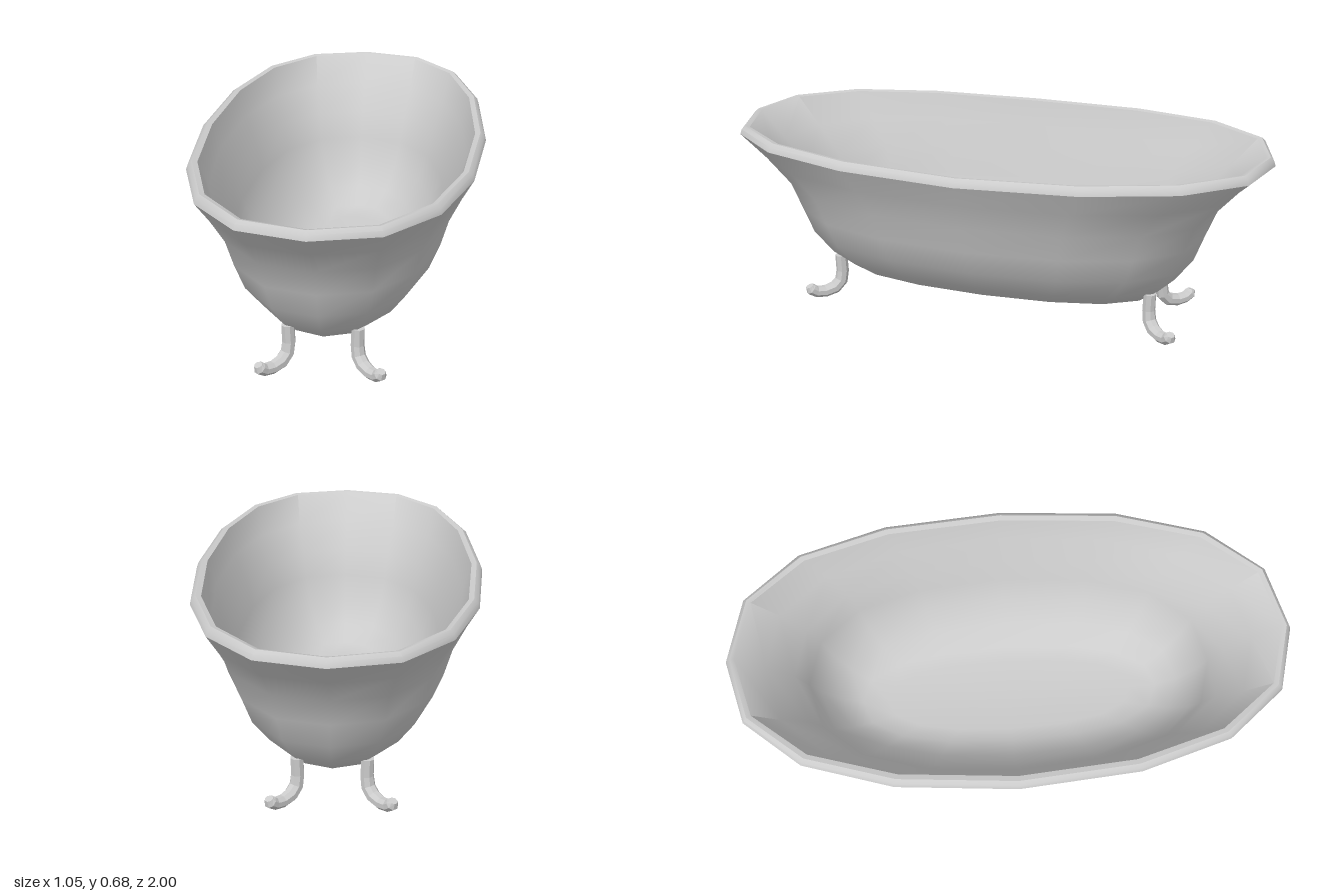
import * as THREE from 'three';
import { toCreasedNormals } from 'three/addons/utils/BufferGeometryUtils.js';

// Closed skin over a list of equal-length rings of Vector3, capped at both ends
function loft(rings) {
  const n = rings[0].length, pos = [], idx = [];
  rings.forEach(r => r.forEach(p => pos.push(p.x, p.y, p.z)));
  for (let i = 0; i < rings.length - 1; i++) {
    for (let j = 0; j < n; j++) {
      const k = (j + 1) % n, a = i * n + j, b = i * n + k;
      idx.push(a, b, b + n, a, b + n, a + n);
    }
  }
  [0, rings.length - 1].forEach((i, last) => {
    const c = new THREE.Vector3();
    rings[i].forEach(p => c.addScaledVector(p, 1 / n));
    const ci = pos.length / 3;
    pos.push(c.x, c.y, c.z);
    for (let j = 0; j < n; j++) {
      const a = i * n + j, b = i * n + (j + 1) % n;
      idx.push(ci, ...(last ? [a, b] : [b, a]));
    }
  });
  const g = new THREE.BufferGeometry();
  g.setAttribute('position', new THREE.Float32BufferAttribute(pos, 3));
  g.setIndex(idx);
  g.computeVertexNormals();
  return g;
}

// Sixteen-sided oval; the sides dip slightly near the rim
const QUARTER = [[0, 1], [0.437, 0.94], [0.752, 0.742], [0.935, 0.425], [1, 0]];
function oval([y, a, b, dip = 0]) {
  const ring = [];
  for (let j = 0; j < 16; j++) {
    const q = Math.floor(j / 4), k = j % 4;
    const [u, v] = QUARTER[q % 2 ? 4 - k : k];
    const sx = q < 2 ? 1 : -1, sz = q === 0 || q === 3 ? 1 : -1;
    ring.push(new THREE.Vector3(sx * u * a, y - dip * Math.pow(u, 8), sz * v * b));
  }
  return ring;
}

function makeTub() {
  // Height, half width, half length
  const outer = [
    [0.1, 0.155, 0.485], [0.12, 0.22, 0.595], [0.178, 0.296, 0.67],
    [0.265, 0.366, 0.735], [0.36, 0.406, 0.77], [0.46, 0.436, 0.81],
    [0.56, 0.482, 0.9],
  ];
  const rim = [
    [0.65, 0.524, 1, 0.01], [0.668, 0.518, 0.994, 0.01],
    [0.68, 0.503, 0.982, 0.012], [0.676, 0.484, 0.966, 0.012],
  ];
  const t = 0.026;
  const inner = outer.slice(1).reverse().map(([y, a, b]) => [y + 0.012, a - t, b - t]);
  inner.push([0.122, 0.14, 0.47]);
  return toCreasedNormals(loft([...outer, ...rim, ...inner].map(oval)), 0.7);
}

// Curled foot swept in a vertical plane: outward distance, height, radius
const LEG = [
  [0, 0.165, 0.023], [-0.003, 0.1, 0.024], [0.004, 0.06, 0.025],
  [0.03, 0.034, 0.025], [0.07, 0.024, 0.023], [0.105, 0.028, 0.022],
  [0.126, 0.042, 0.023], [0.132, 0.056, 0.015],
];
function makeLeg(sx, sz) {
  const out = new THREE.Vector3(sx * 0.67, 0, sz * 0.74);
  const side = new THREE.Vector3(out.z, 0, -out.x).normalize();
  const pts = LEG.map(([r, y]) => new THREE.Vector3(sx * 0.12, y, sz * 0.603).addScaledVector(out, r));
  return loft(pts.map((p, i) => {
    const dir = pts[Math.min(i + 1, pts.length - 1)].clone().sub(pts[Math.max(i - 1, 0)]).normalize();
    const up = dir.clone().cross(side);
    return Array.from({ length: 8 }, (_, j) => {
      const a = (j + 0.5) * Math.PI / 4, r = LEG[i][2];
      return p.clone().addScaledVector(side, Math.cos(a) * r).addScaledVector(up, Math.sin(a) * r);
    });
  }));
}

export function createModel() {
  const group = new THREE.Group();
  group.name = 'bathtub';
  const add = (name, geometry, flatShading) => {
    const mesh = new THREE.Mesh(geometry, new THREE.MeshStandardMaterial({ color: 0xcccccc, flatShading }));
    mesh.name = name;
    group.add(mesh);
  };

  add('tub', makeTub(), false);
  for (const sz of [1, -1]) {
    for (const sx of [1, -1]) {
      add((sz > 0 ? 'front' : 'back') + (sx > 0 ? 'Left' : 'Right') + 'Leg', makeLeg(sx, sz), true);
    }
  }
  return group;
}
